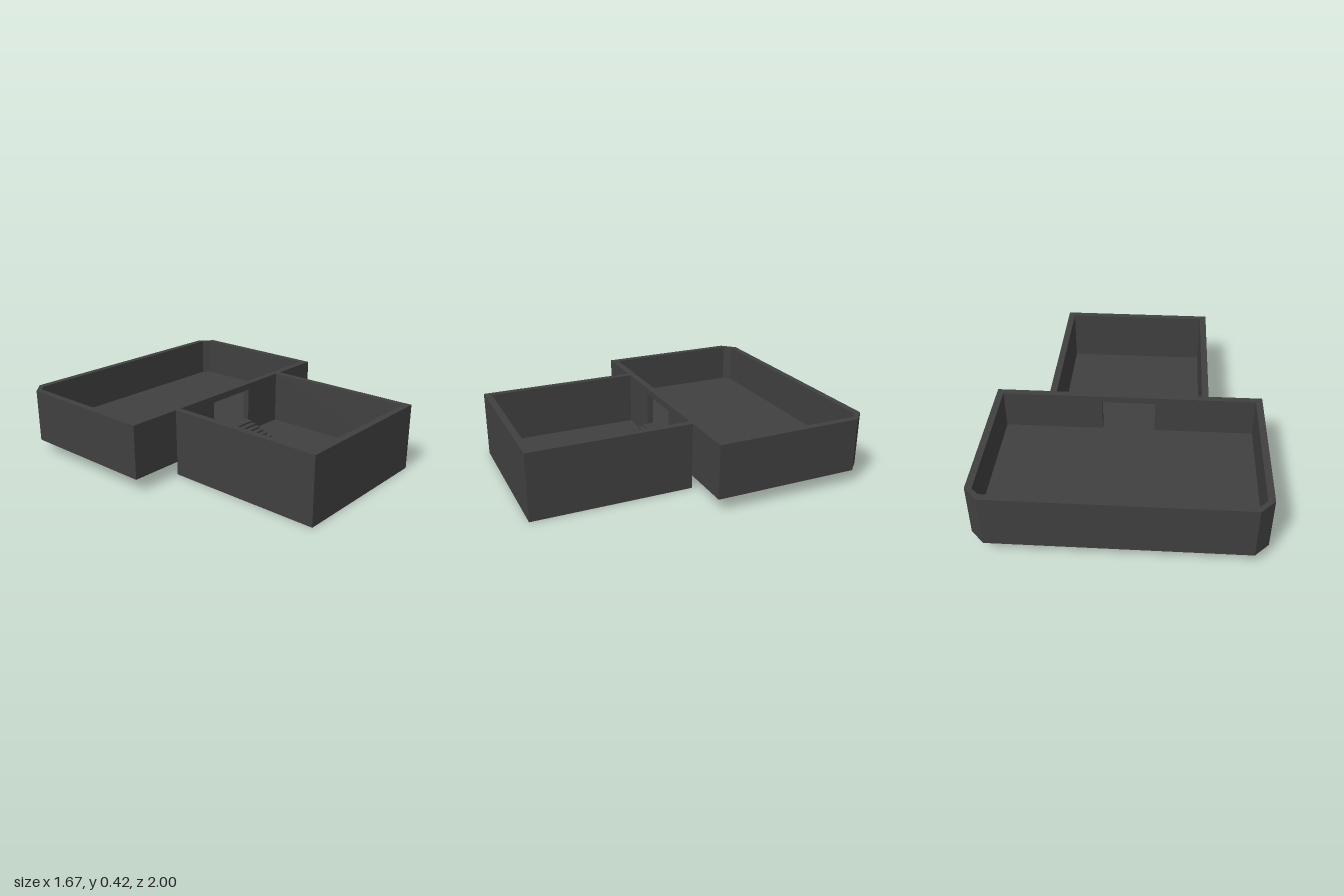
import * as THREE from 'three';

const U = 1 / 12; // plan unit
const material = new THREE.MeshStandardMaterial({ color: 0x404040 });

function outline(points) {
  return new THREE.Shape(points.map(([x, y]) => new THREE.Vector2(x * U, y * U)));
}

function extrude(shape, depth) {
  return new THREE.ExtrudeGeometry(shape, { depth: depth * U, bevelEnabled: false });
}

// Raises a floor plan, given as [x, -z], from height y0 to y1
function raisePlan(name, points, y0, y1) {
  const geometry = extrude(outline(points), y1 - y0);
  geometry.rotateX(-Math.PI / 2).translate(0, y0 * U, 0);
  const mesh = new THREE.Mesh(geometry, material);
  mesh.name = name;
  return mesh;
}

export function createModel() {
  const model = new THREE.Group();
  model.name = 'twoRoomBuilding';

  // Upper hall with two cut corners at the back
  const hall = new THREE.Group();
  hall.name = 'upperHall';
  hall.add(raisePlan('hallFloor',
    [[-10, 0], [10, 0], [10, 11], [9, 12], [-9, 12], [-10, 11]], 1, 2));
  hall.add(raisePlan('hallWalls', [
    [10, 0.5], [10, 11], [9, 12], [-9, 12], [-10, 11], [-10, 0.5],
    [-9.5, 0.5], [-9.5, 11], [-9, 11.5], [9, 11.5], [9.5, 11], [9.5, 0.5],
  ], 2, 5));

  // Dividing wall with the doorway cut out of its lower edge
  const divider = extrude(outline([
    [-10, 2], [-2, 2], [-2, 4.5], [2, 4.5], [2, 2], [10, 2], [10, 5], [-10, 5],
  ]), 0.5);
  divider.translate(0, 0, -0.5 * U);
  const doorWall = new THREE.Mesh(divider, material);
  doorWall.name = 'doorwayWall';
  hall.add(doorWall);

  // Lower front room, open towards the dividing wall
  const room = new THREE.Group();
  room.name = 'lowerRoom';
  room.add(raisePlan('roomFloor', [[-6, -12], [6, -12], [6, 0], [-6, 0]], 0, 1));
  room.add(raisePlan('roomWalls', [
    [-6, 0], [-6, -12], [6, -12], [6, 0],
    [5.5, 0], [5.5, -11.5], [-5.5, -11.5], [-5.5, 0],
  ], 1, 5));

  // Stairs from the room floor up to the doorway
  const steps = 7, tread = 0.4, rise = 1 / steps;
  const profile = [[0, 1]];
  for (let i = 0; i < steps; i++) {
    const z = (steps - i) * tread;
    profile.push([z, 1 + i * rise], [z, 1 + (i + 1) * rise]);
  }
  profile.push([0, 2]);
  const stairGeometry = extrude(outline(profile), 4);
  stairGeometry.rotateY(-Math.PI / 2).translate(2 * U, 0, 0);
  const stairs = new THREE.Mesh(stairGeometry, material);
  stairs.name = 'stairs';
  room.add(stairs);

  model.add(hall, room);
  return model;
}
